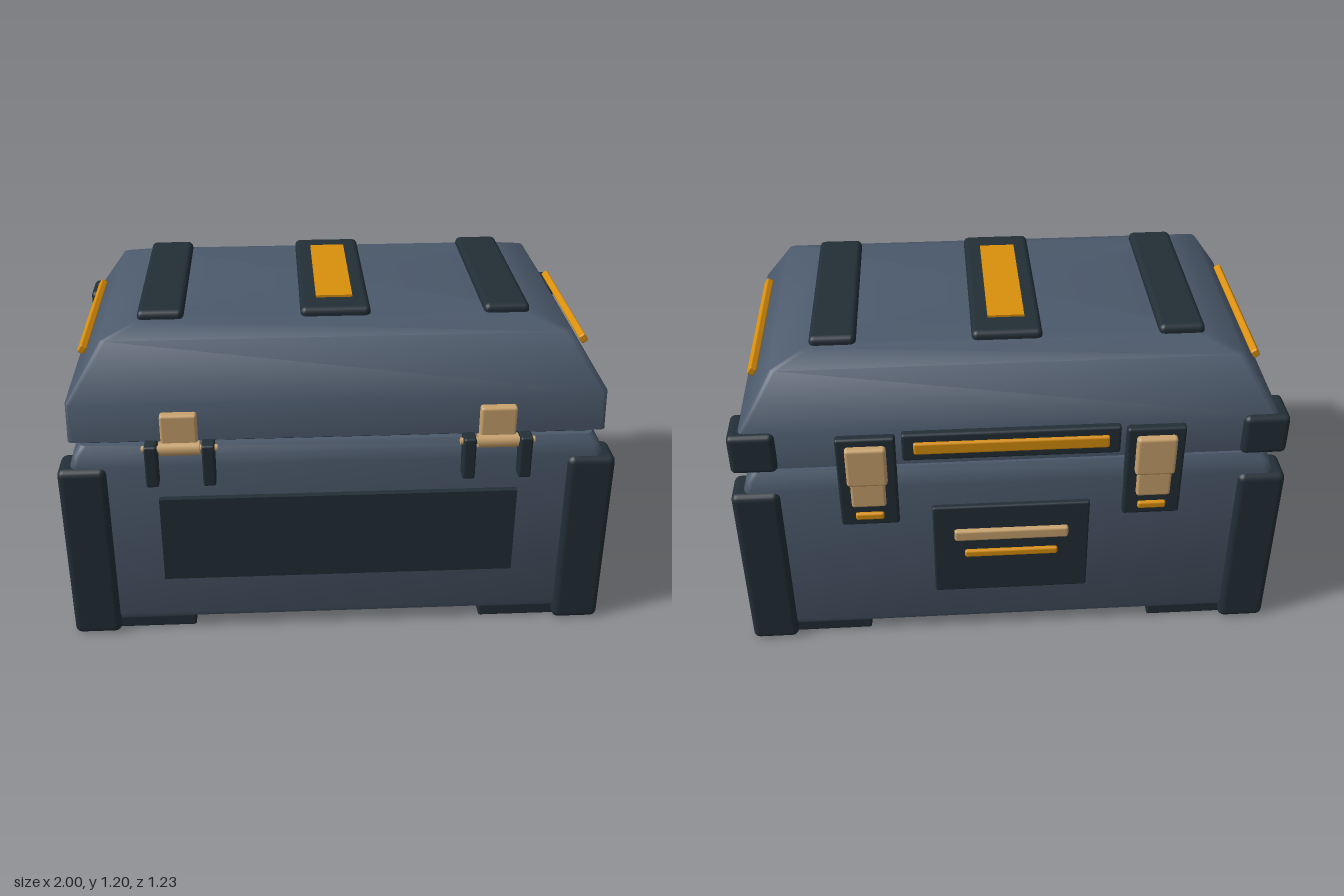
import * as THREE from 'three';
import { toCreasedNormals } from 'three/addons/utils/BufferGeometryUtils.js';
import { RoundedBoxGeometry } from 'three/addons/geometries/RoundedBoxGeometry.js';

const mat = (name, color) => {
  const m = new THREE.MeshStandardMaterial({ color });
  m.name = name;
  return m;
};

// Stack of rounded rectangles [y, halfX, halfZ], capped at both ends
function loft(rings, r) {
  const pos = [], idx = [], steps = 3, n = 4 * (steps + 1);
  for (const [y, hx, hz] of rings) {
    for (let c = 0; c < 4; c++) {
      const sx = c === 0 || c === 3 ? 1 : -1, sz = c < 2 ? 1 : -1;
      for (let k = 0; k <= steps; k++) {
        const a = (c + k / steps) * Math.PI / 2;
        pos.push(sx * (hx - r) + r * Math.cos(a), y, sz * (hz - r) + r * Math.sin(a));
      }
    }
  }
  for (let j = 0; j < rings.length - 1; j++) {
    for (let i = 0; i < n; i++) {
      const a = j * n + i, b = j * n + (i + 1) % n;
      idx.push(a, a + n, b + n, a, b + n, b);
    }
  }
  const last = (rings.length - 1) * n, low = pos.length / 3, high = low + 1;
  pos.push(0, rings[0][0], 0, 0, rings[rings.length - 1][0], 0);
  for (let i = 0; i < n; i++) {
    const k = (i + 1) % n;
    idx.push(low, i, k, high, last + k, last + i);
  }
  const g = new THREE.BufferGeometry();
  g.setAttribute('position', new THREE.Float32BufferAttribute(pos, 3));
  g.setIndex(idx);
  return toCreasedNormals(g, 0.8);
}

export function createModel() {
  const root = new THREE.Group();
  root.name = 'storageCrate';
  const slate = mat('slate blue', 0x4b596b);
  const dark = mat('dark slate', 0x222e36);
  const tan = mat('tan metal', 0xc9a26d);
  const amber = mat('amber', 0xd98f0c);

  const add = (name, geo, material) => {
    const m = new THREE.Mesh(geo, material);
    m.name = name;
    root.add(m);
    return m;
  };
  // Box given by its ranges, with an optional bevel
  const box = (name, material, x, y, z, bevel = 0) => {
    const size = [x, y, z].map(([a, b]) => Math.abs(b - a));
    const geo = bevel ? new RoundedBoxGeometry(...size, 2, bevel) : new THREE.BoxGeometry(...size);
    const m = add(name, geo, material);
    m.position.set(...[x, y, z].map(([a, b]) => (a + b) / 2));
    return m;
  };
  const around = (c, half) => [c - half, c + half];
  // Round rod between two points
  const rod = (name, material, from, to, r) => {
    const a = new THREE.Vector3(...from), b = new THREE.Vector3(...to);
    const d = b.clone().sub(a);
    const m = add(name, new THREE.CylinderGeometry(r, r, d.length(), 14), material);
    m.position.copy(a).add(b).multiplyScalar(0.5);
    m.quaternion.setFromUnitVectors(new THREE.Vector3(0, 1, 0), d.normalize());
  };

  // Main shells and the seal between them
  add('body', loft([
    [0.04, 0.90, 0.54], [0.05, 0.92, 0.56], [0.075, 0.93, 0.57],
    [0.70, 0.93, 0.57], [0.74, 0.918, 0.56], [0.77, 0.895, 0.542],
  ], 0.025), slate);
  add('lid', loft([
    [0.795, 0.93, 0.563], [0.94, 0.925, 0.563],
    [1.12, 0.808, 0.45], [1.155, 0.69, 0.37], [1.163, 0.66, 0.34],
  ], 0.02), slate);
  box('seal', dark, [-0.89, 0.89], [0.765, 0.78], [-0.52, 0.52]);

  // Straps on the lid
  for (const x of [-0.605, 0, 0.597]) {
    box('lidStrap', dark, around(x, x ? 0.08 : 0.122), [1.14, 1.187], [-0.36, 0.36], 0.02);
  }
  box('lidStripe', amber, [-0.065, 0.063], [1.186, 1.195], [-0.26, 0.26]);

  // Front panel
  box('frontPanel', dark, [-0.63, 0.63], [0.24, 0.575], [0.56, 0.593]);

  // Back label panel and lid stripe
  box('backPanel', dark, [-0.28, 0.28], [0.21, 0.61], [-0.59, -0.56], 0.008);
  box('backTanBar', tan, [-0.205, 0.205], [0.463, 0.51], [-0.607, -0.58], 0.01);
  box('backAmberBar', amber, [-0.168, 0.168], [0.382, 0.412], [-0.603, -0.58], 0.008);
  box('backLidPlate', dark, [-0.375, 0.375], [0.825, 0.935], [-0.59, -0.55], 0.01);
  box('backLidStripe', amber, [-0.335, 0.335], [0.858, 0.905], [-0.602, -0.58], 0.008);

  for (const s of [-1, 1]) {
    const sx = (a, b) => [s * a, s * b];

    // Corner posts, lid guards and skids
    for (const t of [-1, 1]) {
      box('cornerPost', dark, sx(0.805, 0.975), [0, 0.695], [t * 0.45, t * 0.59], 0.025);
    }
    box('lidCornerGuard', dark, sx(0.80, 0.96), [0.79, 0.945], [-0.585, -0.433], 0.02);
    box('skid', dark, sx(0.53, 0.83), [0, 0.05], [-0.555, 0.555], 0.008);

    // Hinges on the front
    const hx = s * 0.547;
    box('hingeLeaf', tan, around(hx, 0.063), [0.75, 0.905], [0.555, 0.594], 0.01);
    rod('hingeBarrel', tan, [hx - 0.07, 0.778, 0.588], [hx + 0.07, 0.778, 0.588], 0.025);
    rod('hingePin', tan, [hx - 0.13, 0.778, 0.588], [hx + 0.13, 0.778, 0.588], 0.012);
    for (const t of [-1, 1]) {
      box('hingeBracket', dark, around(hx + t * 0.098, 0.022), [0.64, 0.798], [0.55, 0.617], 0.008);
    }

    // Latches on the back
    const lx = s * 0.498;
    box('latchPlate', dark, around(lx, 0.102), [0.55, 0.925], [-0.592, -0.55], 0.01);
    box('latchHook', tan, around(lx, 0.07), [0.74, 0.897], [-0.617, -0.58], 0.012);
    box('latchLever', tan, around(lx, 0.06), [0.645, 0.76], [-0.612, -0.58], 0.01);
    box('latchMark', amber, around(lx, 0.05), [0.582, 0.61], [-0.605, -0.58], 0.008);

    // Side panel with its handle and chevron
    box('sidePanel', dark, sx(0.92, 0.945), [0.245, 0.595], [-0.29, 0.303]);
    for (const t of [-1, 1]) {
      const zc = 0.007;
      box('handleMount', dark, sx(0.94, 0.978), [0.473, 0.54], around(zc + t * 0.21, 0.03), 0.01);
      const elbow = [s * 0.982, 0.38, zc + t * 0.185];
      rod('handleArm', tan, [s * 0.965, 0.485, zc + t * 0.21], elbow, 0.013);
      rod('handleEnd', tan, [elbow[0], elbow[1], zc + t * 0.197], [s * 0.982, 0.38, zc + t * 0.12], 0.013);
      const bar = add('chevronBar', new RoundedBoxGeometry(0.022, 0.033, 0.195, 2, 0.008), amber);
      bar.position.set(s * 0.952, 0.278, zc + t * 0.14);
      bar.rotation.x = -t * 0.46;
    }
    rod('handleGrip', dark, [s * 0.98, 0.38, -0.12], [s * 0.98, 0.38, 0.135], 0.02);

    // Stripe on the sloping lid end
    const stripe = add('lidEndStripe', new RoundedBoxGeometry(0.026, 0.032, 0.635, 2, 0.006), amber);
    stripe.position.set(s * 0.888, 1.032, 0.003);
    stripe.rotation.z = s * 0.58;
  }
  return root;
}
